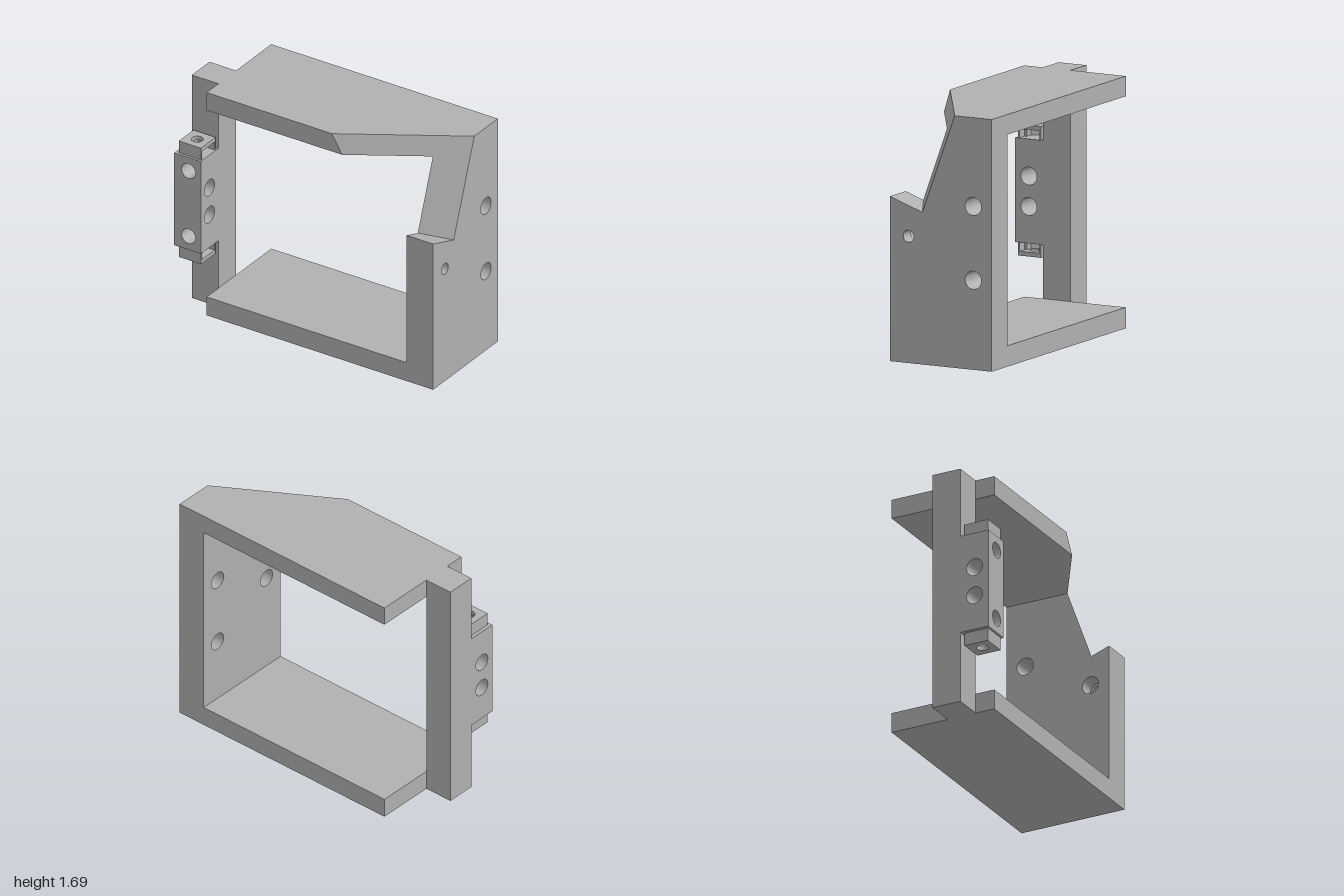
import * as THREE from 'three';
import { toCreasedNormals } from 'three/addons/utils/BufferGeometryUtils.js';

// Ways to lay a flat outline (u, v) along an axis w
const alongX = (u, v, w) => [w, v, -u];
const alongY = (u, v, w) => [u, w, -v];
const alongZ = (u, v, w) => [u, v, w];

const circle = (u, v, r, n = 40) => Array.from({ length: n }, (_, i) => {
  const a = (i / n) * Math.PI * 2;
  return [u + r * Math.cos(a), v + r * Math.sin(a)];
});
const rect = (u0, u1, v0, v1) => [[u0, v0], [u1, v0], [u1, v1], [u0, v1]];

// Solid between two matching outlines with holes; outlineAt(w) may change with w
function loft(outlineAt, holes, w0, w1, place) {
  const ringsAt = (w) => [outlineAt(w), ...holes].map((ring, i) => {
    const pts = ring.map(([u, v]) => new THREE.Vector2(u, v));
    const clockwise = THREE.ShapeUtils.isClockWise(pts);
    return clockwise === (i === 0) ? pts.reverse() : pts;
  });
  const low = ringsAt(w0), high = ringsAt(w1);
  const pos = [];
  const put = (p, w) => pos.push(...place(p.x, p.y, w));
  const cap = (rings, w, flip) => {
    const faces = THREE.ShapeUtils.triangulateShape(rings[0], rings.slice(1));
    const all = rings.flat();
    for (const [a, b, c] of faces) (flip ? [c, b, a] : [a, b, c]).forEach((i) => put(all[i], w));
  };
  cap(low, w0, true);
  cap(high, w1, false);
  low.forEach((ring, k) => ring.forEach((p, i) => {
    const j = (i + 1) % ring.length;
    const q = ring[j], P = high[k][i], Q = high[k][j];
    put(p, w0); put(q, w0); put(Q, w1);
    put(p, w0); put(Q, w1); put(P, w1);
  }));
  const geo = new THREE.BufferGeometry();
  geo.setAttribute('position', new THREE.Float32BufferAttribute(pos, 3));
  return toCreasedNormals(geo, 0.5);
}

export function createModel() {
  const model = new THREE.Group();
  model.name = 'bracketFrame';
  const grey = new THREE.MeshStandardMaterial({ color: 0xb0b0b0 });
  grey.name = 'plain grey';

  const add = (name, geo) => {
    const mesh = new THREE.Mesh(geo, grey);
    mesh.name = name;
    model.add(mesh);
  };
  const box = (name, x0, x1, y0, y1, z0, z1) => {
    const geo = new THREE.BoxGeometry(x1 - x0, y1 - y0, z1 - z0);
    add(name, geo.translate((x0 + x1) / 2, (y0 + y1) / 2, (z0 + z1) / 2));
  };

  const H = 1.69, back = -0.42, front = 0.35, inner = 0.79;
  // Slanted cut across the upper front corner
  const cutZ = (x, y) => -0.14 + 0.6125 * (1 - x) + 0.366 * (H - y);
  const cutX = (z, y) => 1 - (z + 0.14 - 0.366 * (H - y)) / 0.6125;

  // Plates and left post
  box('bottomPlate', -inner, inner, 0, 0.14, back, front);
  box('leftPost', -1, -inner, 0, H, 0, 0.21);
  add('topPlate', loft((y) => [
    [-inner, -back], [-inner, -front], [cutX(front, y), -front],
    [inner, -cutZ(inner, y)], [inner, -back],
  ], [], 1.555, H, alongY));

  // Side wall in two layers, so that one hole is counterbored from inside
  const wallOutline = (x) => {
    const t = (1 - x) / 0.21;
    return [
      [-back, 0], [-back, H], [-cutZ(x, H), H],
      [-(0.105 + 0.112 * t), 1.02 + 0.039 * t], [-front, 1.105], [-front, 0],
    ];
  };
  const wallLayer = (name, x0, x1, r) => add(name, loft(wallOutline,
    [circle(0.28, 1.095, 0.061), circle(0.28, 0.6, 0.061), circle(-0.21, 0.85, r)], x0, x1, alongX));
  wallLayer('sideWallInner', inner, 0.9, 0.061);
  wallLayer('sideWallOuter', 0.9, 1, 0.04);

  // Hinge block: middle drilled sideways, ends drilled from the front
  const midY = 0.85, midX = -0.887, midZ = 0.316;
  add('blockMiddle', loft(() => rect(-0.42, -0.21, midY - 0.17, midY + 0.17),
    [-1, 1].map((s) => circle(-midZ, midY + s * 0.102, 0.06)), -1, -inner, alongX));

  for (const s of [-1, 1]) {
    const side = s > 0 ? 'upper' : 'lower';
    const at = (d) => midY + s * d;
    const span = (d0, d1) => [Math.min(at(d0), at(d1)), Math.max(at(d0), at(d1))];

    add(side + 'BlockEnd', loft(() => rect(-1, -inner, ...span(0.17, 0.35)),
      [circle(midX, at(0.247), 0.055)], 0.21, 0.42, alongZ));

    // Nut holder: pocket open to the side, with a pointed end, under a drilled cap
    const x0 = -0.975, x1 = -0.8, w = 0.087;
    const half = [[x0, w], [x1, w], [x1, 0.075], [-0.865, 0.075], [-0.865, 0.058], [-0.92, 0.058]];
    const pocket = [
      ...half.map(([x, d]) => [x, d - midZ]),
      [-0.953, -midZ],
      ...half.slice().reverse().map(([x, d]) => [x, -d - midZ]),
    ];
    add(side + 'NutPocket', loft(() => pocket, [], ...span(0.35, 0.41), alongY));
    add(side + 'NutCap', loft(() => rect(x0, x1, -midZ - w, -midZ + w),
      [circle(midX, -midZ, 0.04)], ...span(0.41, 0.44), alongY));
  }
  return model;
}
